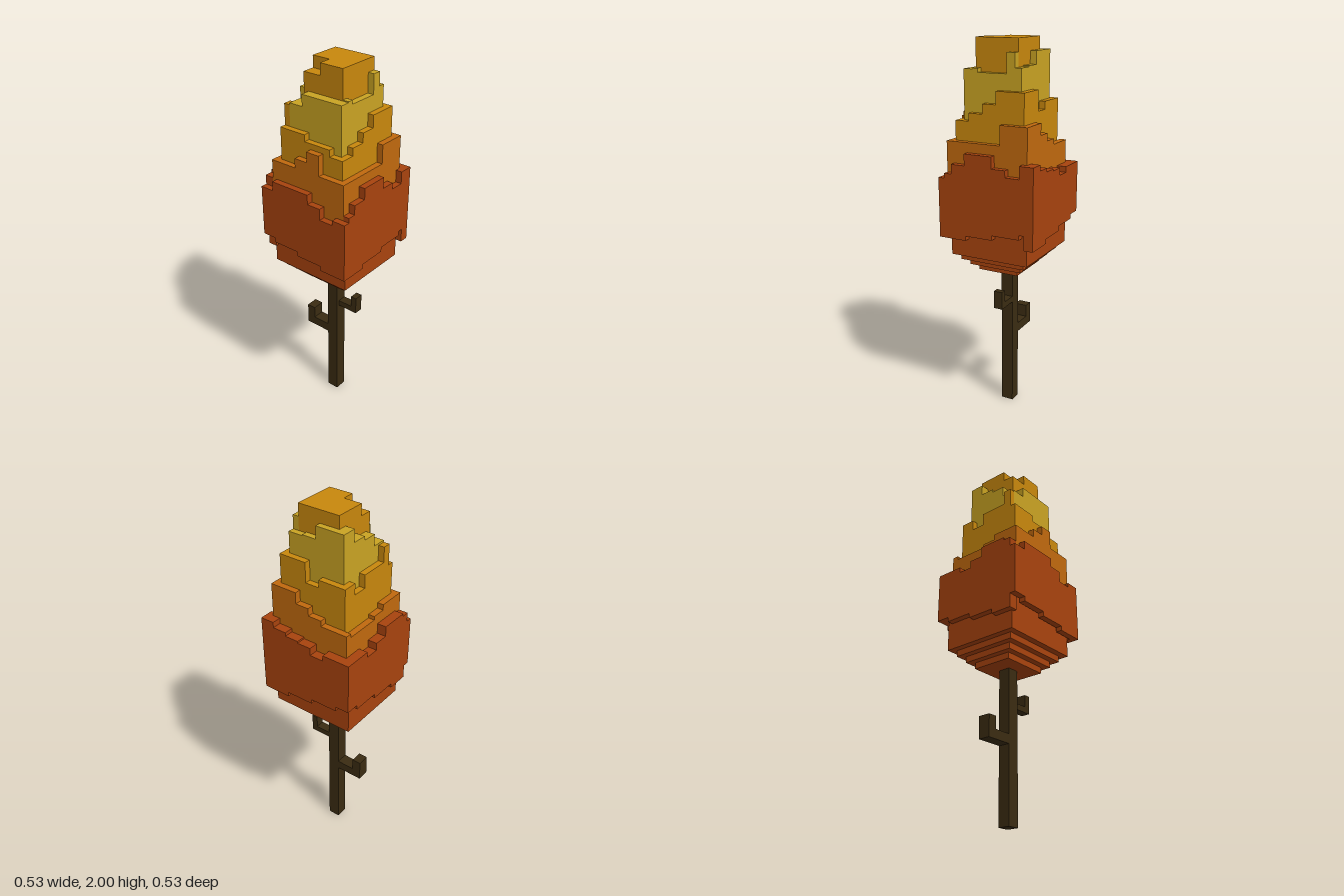
import * as THREE from 'three';

const mat = (name, color) => {
  const m = new THREE.MeshStandardMaterial({ color });
  m.name = name;
  return m;
};

// Box given by its two opposite corners
const box = (parent, name, m, x0, x1, y0, y1, z0, z1) => {
  const mesh = new THREE.Mesh(new THREE.BoxGeometry(x1 - x0, y1 - y0, z1 - z0), m);
  mesh.position.set((x0 + x1) / 2, (y0 + y1) / 2, (z0 + z1) / 2);
  mesh.name = name;
  parent.add(mesh);
};

const group = (parent, name) => {
  const g = new THREE.Group();
  g.name = name;
  parent.add(g);
  return g;
};

// Ring of leaves between an outer square and an inner rectangle. Each side is cut
// into equal columns, whose tops are listed from the negative end to the positive.
const leafTier = (parent, name, m, [min, max], [x0, x1, z0, z1], bottom, tops) => {
  const g = group(parent, name);
  const columns = (heights, place) => {
    const w = (max - min) / heights.length;
    heights.forEach((top, i) => {
      const a = min + i * w;
      place(a, a + w, bottom(a + w / 2), top);
    });
  };
  columns(tops.front, (a, b, lo, hi) => box(g, 'frontLeaves', m, a, b, lo, hi, z1, max));
  columns(tops.back, (a, b, lo, hi) => box(g, 'backLeaves', m, a, b, lo, hi, min, z0));
  // Side walls run between the front and back walls
  const side = (label, heights, xa, xb) => columns(heights, (a, b, lo, hi) =>
    box(g, label, m, xa, xb, lo, hi, Math.max(a, z0), Math.min(b, z1)));
  side('leftLeaves', tops.left, x1, max);
  side('rightLeaves', tops.right, min, x0);
};

export function createModel() {
  const red = mat('rust red', 0xa8430e), orange = mat('dark orange', 0xc0690e);
  const amber = mat('amber', 0xc8870d), yellow = mat('golden yellow', 0xc9a323);
  const bark = mat('dark bark', 0x3b2c12);
  const model = new THREE.Group();
  model.name = 'autumnTree';

  // Trunk and two hooked branches
  box(model, 'trunk', bark, -0.033, 0.033, 0, 0.82, -0.033, 0.033);
  const upper = group(model, 'upperBranch');
  box(upper, 'arm', bark, 0.033, 0.15, 0.603, 0.635, -0.033, 0.016);
  box(upper, 'tip', bark, 0.117, 0.15, 0.635, 0.7, -0.033, 0.016);
  const lower = group(model, 'lowerBranch');
  box(lower, 'arm', bark, -0.183, -0.033, 0.4, 0.45, -0.033, 0.033);
  box(lower, 'tip', bark, -0.183, -0.133, 0.45, 0.517, -0.033, 0.033);

  // Stepped underside of the crown, each step one voxel wider
  const base = group(model, 'crownBase');
  for (let i = 0; i < 4; i++) {
    const x = 0.133 + i / 30, z = 0.112 + i * 0.035, y = 0.803 + i / 30;
    box(base, 'step', red, -x, x, y, i < 3 ? y + 1 / 30 : 1.2, -z, z);
  }

  // Leaf tiers from the outside in; the outer hem drops in steps
  const hem = (along) => Math.round((1.03 - 0.15 * along) * 40) / 40;
  const hidden = () => 1.2;
  leafTier(model, 'rustTier', red, [-0.267, 0.267], [-0.217, 0.233, -0.217, 0.233], hem, {
    front: [1.35, 1.4, 1.4, 1.4, 1.35, 1.29, 1.315],
    back: [1.35, 1.35, 1.32, 1.36, 1.37, 1.39, 1.42],
    left: [1.42, 1.355, 1.39, 1.45, 1.45, 1.39, 1.34],
    right: [1.35, 1.35, 1.32, 1.36, 1.415, 1.415, 1.4],
  });
  leafTier(model, 'orangeTier', orange, [-0.217, 0.233], [-0.183, 0.2, -0.183, 0.2], hidden, {
    front: [1.5, 1.5, 1.55, 1.605, 1.5, 1.5],
    back: [1.47, 1.47, 1.5, 1.54, 1.6, 1.6],
    left: [1.6, 1.6, 1.5, 1.5, 1.5, 1.5],
    right: [1.45, 1.45, 1.45, 1.47, 1.5, 1.5],
  });
  leafTier(model, 'amberTier', amber, [-0.183, 0.2], [-0.15, 0.167, -0.15, 0.167], hidden, {
    front: [1.67, 1.67, 1.635, 1.635, 1.6],
    back: [1.69, 1.69, 1.65, 1.755, 1.755],
    left: [1.755, 1.755, 1.69, 1.64, 1.6],
    right: [1.69, 1.63, 1.7, 1.7, 1.78],
  });
  leafTier(model, 'yellowTier', yellow, [-0.15, 0.167], [-0.1, 0.133, -0.117, 0.117], hidden, {
    front: [1.79, 1.85, 1.85, 1.85],
    back: [1.935, 1.935, 1.87, 1.865],
    left: [1.935, 1.835, 1.835, 1.855],
    right: [1.935, 1.87, 1.85, 1.79],
  });

  // Crown top with one notched corner
  const top = group(model, 'crownTop');
  box(top, 'topBody', amber, -0.1, 0.133, 1.2, 1.94, -0.117, 0.117);
  box(top, 'topBack', amber, -0.1, 0.133, 1.94, 2, -0.117, 0.05);
  box(top, 'topFront', amber, 0, 0.133, 1.94, 2, 0.05, 0.117);
  return model;
}
